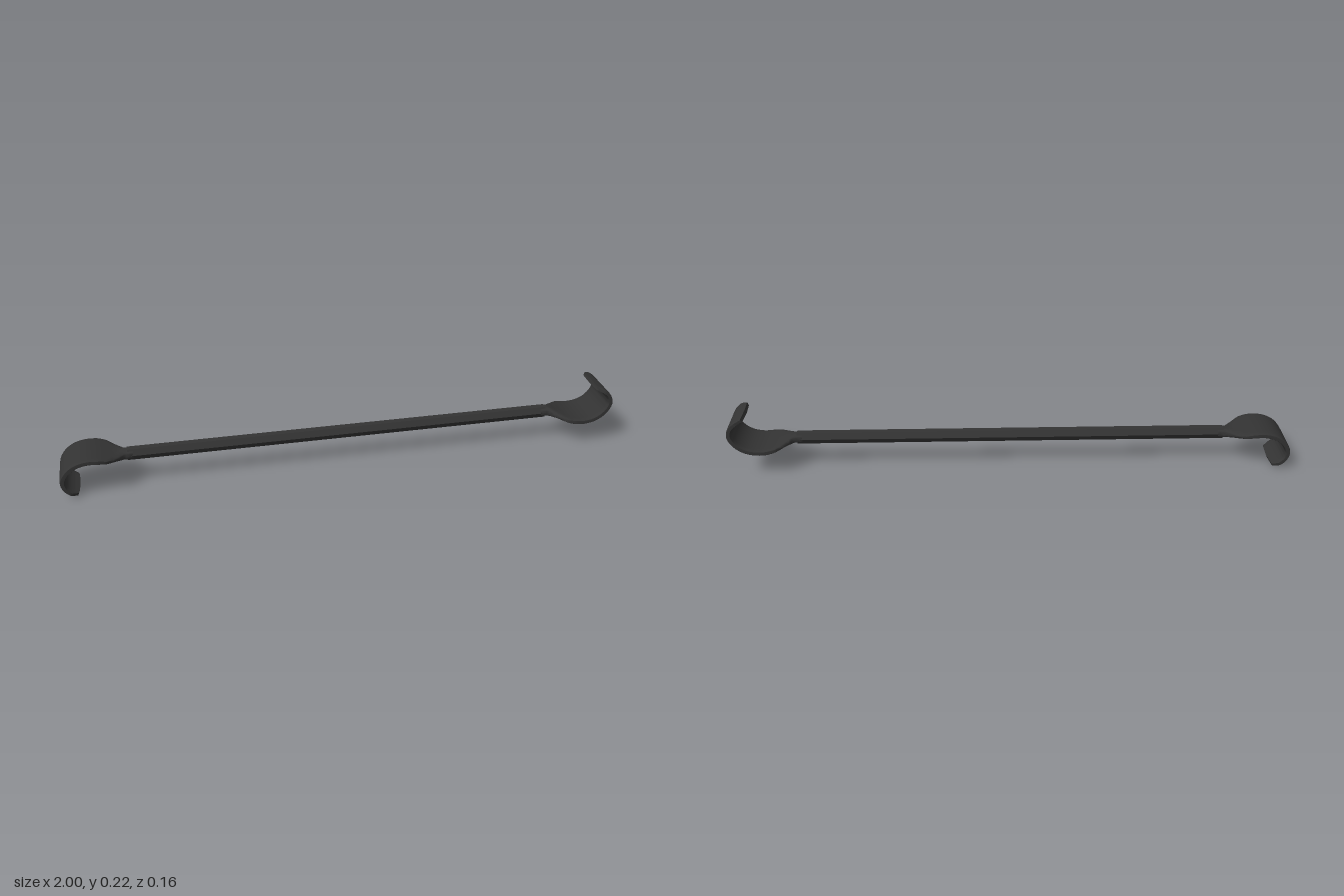
import * as THREE from 'three';
import { toCreasedNormals } from 'three/addons/utils/BufferGeometryUtils.js';

const MID = 0.112; // height of the bar's axis
const material = new THREE.MeshStandardMaterial({ color: 0x333333 });

// Hook stations: x, y above the axis, half width, half thickness, squareness
const stations = [
  [0.745, 0, 0.022, 0.0195, 2],
  [0.775, 0, 0.027, 0.017, 2.2],
  [0.805, -0.006, 0.054, 0.011, 3],
  [0.835, -0.014, 0.077, 0.009, 5],
  [0.865, -0.02, 0.082, 0.009, 8],
  [0.9, -0.0215, 0.082, 0.009, 8],
  [0.94, -0.012, 0.082, 0.009, 8],
  [0.972, 0.011, 0.082, 0.009, 8],
  [0.99, 0.044, 0.082, 0.009, 8],
  [0.984, 0.073, 0.082, 0.008, 8],
  [0.964, 0.093, 0.081, 0.008, 8],
  [0.942, 0.103, 0.068, 0.007, 8],
];

// Flattened, curled blade lofted from the stations
function hookGeometry() {
  const path = new THREE.CatmullRomCurve3(stations.map(([x, y]) => new THREE.Vector3(x, y, 0)));
  const size = (t) => {
    const f = t * (stations.length - 1);
    const i = Math.min(Math.floor(f), stations.length - 2);
    return [2, 3, 4].map((k) => THREE.MathUtils.lerp(stations[i][k], stations[i + 1][k], f - i));
  };
  const rows = 44, sides = 28, pos = [], index = [];
  for (let i = 0; i <= rows; i++) {
    const t = i / rows;
    const p = path.getPoint(t), d = path.getTangent(t);
    const [w, h, n] = size(t);
    for (let j = 0; j < sides; j++) {
      const a = (j / sides) * Math.PI * 2, c = Math.cos(a), s = Math.sin(a);
      const u = Math.sign(c) * Math.abs(c) ** (2 / n);
      const v = Math.sign(s) * Math.abs(s) ** (2 / n) * h;
      // the tip edge bows gently outward
      const bow = i === rows ? 0.005 * (1 - u * u) : 0;
      pos.push(p.x - d.y * v + d.x * bow, p.y + d.x * v + d.y * bow, u * w);
    }
  }
  for (let i = 0; i < rows; i++) {
    for (let j = 0; j < sides; j++) {
      const a = i * sides + j, b = i * sides + (j + 1) % sides;
      index.push(a, a + sides, b, b, a + sides, b + sides);
    }
  }
  // close the tip
  const last = rows * sides, tip = path.getPoint(1), dir = path.getTangent(1);
  pos.push(tip.x + dir.x * 0.005, tip.y + dir.y * 0.005, 0);
  for (let j = 0; j < sides; j++) index.push(last + sides, last + (j + 1) % sides, last + j);
  const g = new THREE.BufferGeometry();
  g.setAttribute('position', new THREE.Float32BufferAttribute(pos, 3));
  g.setIndex(index);
  return toCreasedNormals(g, 0.7);
}

export function createModel() {
  const model = new THREE.Group();
  model.name = 'doubleEndedHookBar';

  // Hexagonal bar with flats above and below
  const barGeometry = new THREE.CylinderGeometry(0.0235, 0.0235, 1.53, 6);
  barGeometry.rotateZ(Math.PI / 2);
  const bar = new THREE.Mesh(toCreasedNormals(barGeometry, 0.5), material);
  bar.name = 'bar';
  bar.position.y = MID;
  model.add(bar);

  // One hook curls up, the other is the same turned half round
  const geometry = hookGeometry();
  [['leftHook', 0], ['rightHook', Math.PI]].forEach(([name, turn]) => {
    const hook = new THREE.Mesh(geometry, material);
    hook.name = name;
    hook.position.y = MID;
    hook.rotation.z = turn;
    model.add(hook);
  });
  return model;
}
